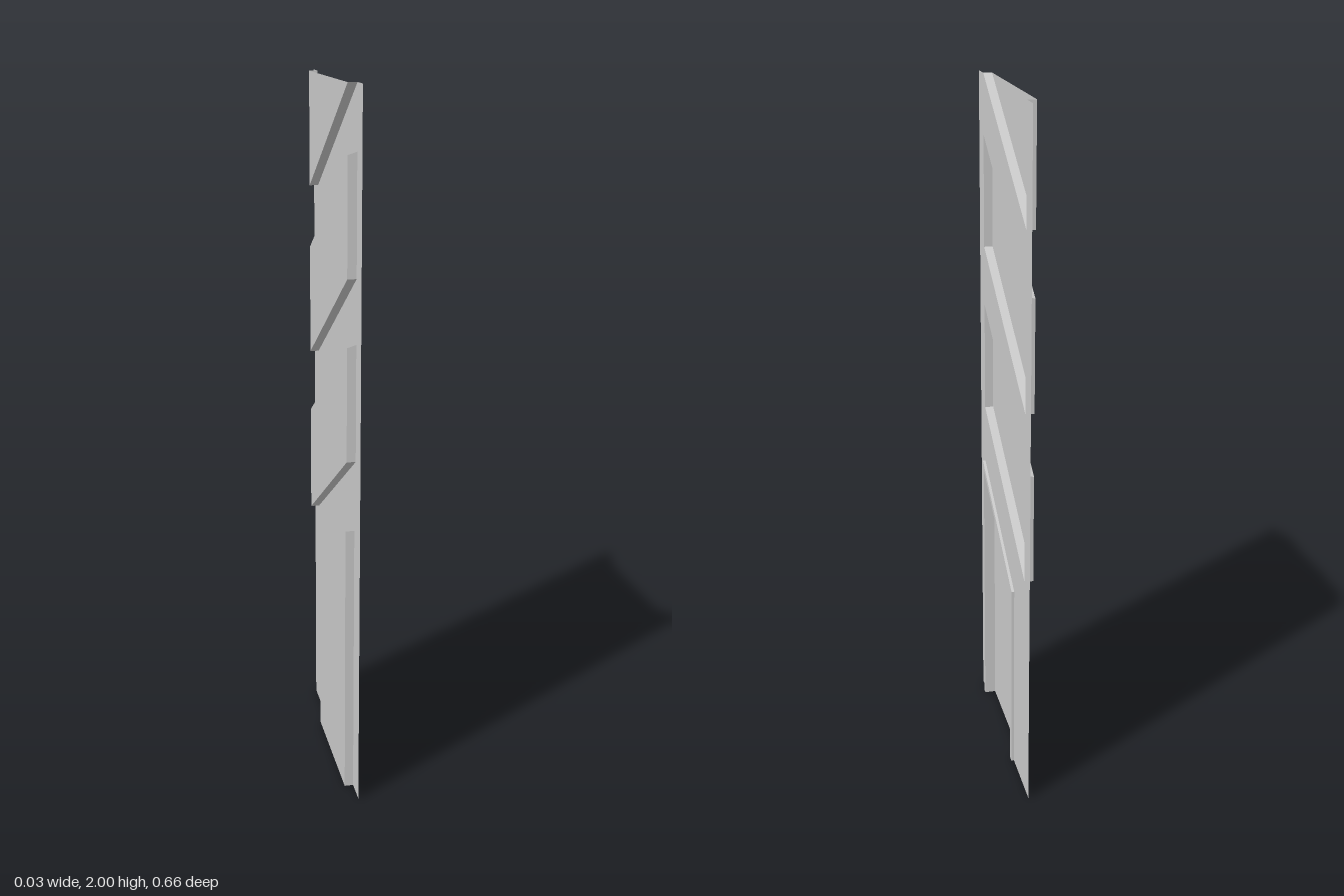
import * as THREE from 'three';

const material = new THREE.MeshStandardMaterial({ color: 0xcccccc, side: THREE.DoubleSide, flatShading: true });
const SHEET = 0.008, BACK = -0.017, TRIM = 0.016; // depths along x

// Outlines are [u, y] points on the panel, with u = -z.
const toShape = (pts) => new THREE.Shape(pts.map(([u, y]) => new THREE.Vector2(u, y)));

function flat(name, shape, x) {
  const geo = new THREE.ShapeGeometry(shape);
  geo.rotateY(Math.PI / 2);
  geo.translate(x, 0, 0);
  const mesh = new THREE.Mesh(geo, material);
  mesh.name = name;
  return mesh;
}

// Skin joining outline a at depth xa to outline b at depth xb.
function strip(name, a, xa, b, xb, closed) {
  const pos = [];
  const n = closed ? a.length : a.length - 1;
  for (let i = 0; i < n; i++) {
    const j = (i + 1) % a.length;
    const p = [xa, a[i][1], -a[i][0]], q = [xa, a[j][1], -a[j][0]];
    const r = [xb, b[j][1], -b[j][0]], s = [xb, b[i][1], -b[i][0]];
    pos.push(...p, ...q, ...r, ...p, ...r, ...s);
  }
  const geo = new THREE.BufferGeometry();
  geo.setAttribute('position', new THREE.Float32BufferAttribute(pos, 3));
  geo.computeVertexNormals();
  const mesh = new THREE.Mesh(geo, material);
  mesh.name = name;
  return mesh;
}

export function createModel() {
  const model = new THREE.Group();
  model.name = 'slantedWallPanel';

  // Slanted window outline; drop lowers the head at the back of the recess
  const windowOutline = (y, drop = 0) => [
    [-0.27, y], [0.267, y - 0.325], [0.267, y - drop], [-0.27, y + 0.325 - drop],
  ];
  const windows = [1.005, 1.505];
  const door = [[-0.257, 0], [-0.257, 0.8], [0.119, 0.573], [0.119, 0]];
  const doorOuter = [[-0.271, 0], [-0.271, 0.828], [0.1375, 0.581], [0.1375, 0]];
  const notch = [[0.267, 2], [0.267, 1.677], [-0.268, 2]];

  // Wall sheet, cut around the door, the top notch and the windows
  const wall = toShape([
    [-0.33, 0], ...door, [0.33, 0], [0.33, 2], ...notch, [-0.33, 2],
  ]);
  for (const y of windows) wall.holes.push(toShape(windowOutline(y)));
  model.add(flat('wallSheet', wall, SHEET));

  // Recessed windows
  windows.forEach((y, i) => {
    const group = new THREE.Group();
    group.name = `window${i + 1}`;
    const back = windowOutline(y, 0.008);
    group.add(strip('windowReveal', windowOutline(y), SHEET, back, BACK, true));
    group.add(flat('windowPane', toShape(back), BACK));
    model.add(group);
  });

  // Partial window cut off by the top edge
  const top = new THREE.Group();
  top.name = 'topWindow';
  top.add(strip('topReveal', notch, SHEET, notch, BACK, false));
  top.add(flat('topPane', toShape(notch), BACK));
  model.add(top);

  // Doorway with raised trim
  const doorway = new THREE.Group();
  doorway.name = 'doorway';
  doorway.add(strip('trimEdge', doorOuter, SHEET, doorOuter, TRIM, false));
  doorway.add(strip('trimFace', doorOuter, TRIM, door, TRIM, false));
  doorway.add(strip('doorReveal', door, TRIM, door, BACK, false));
  doorway.add(flat('doorLeaf', toShape(door), BACK));
  model.add(doorway);

  return model;
}
